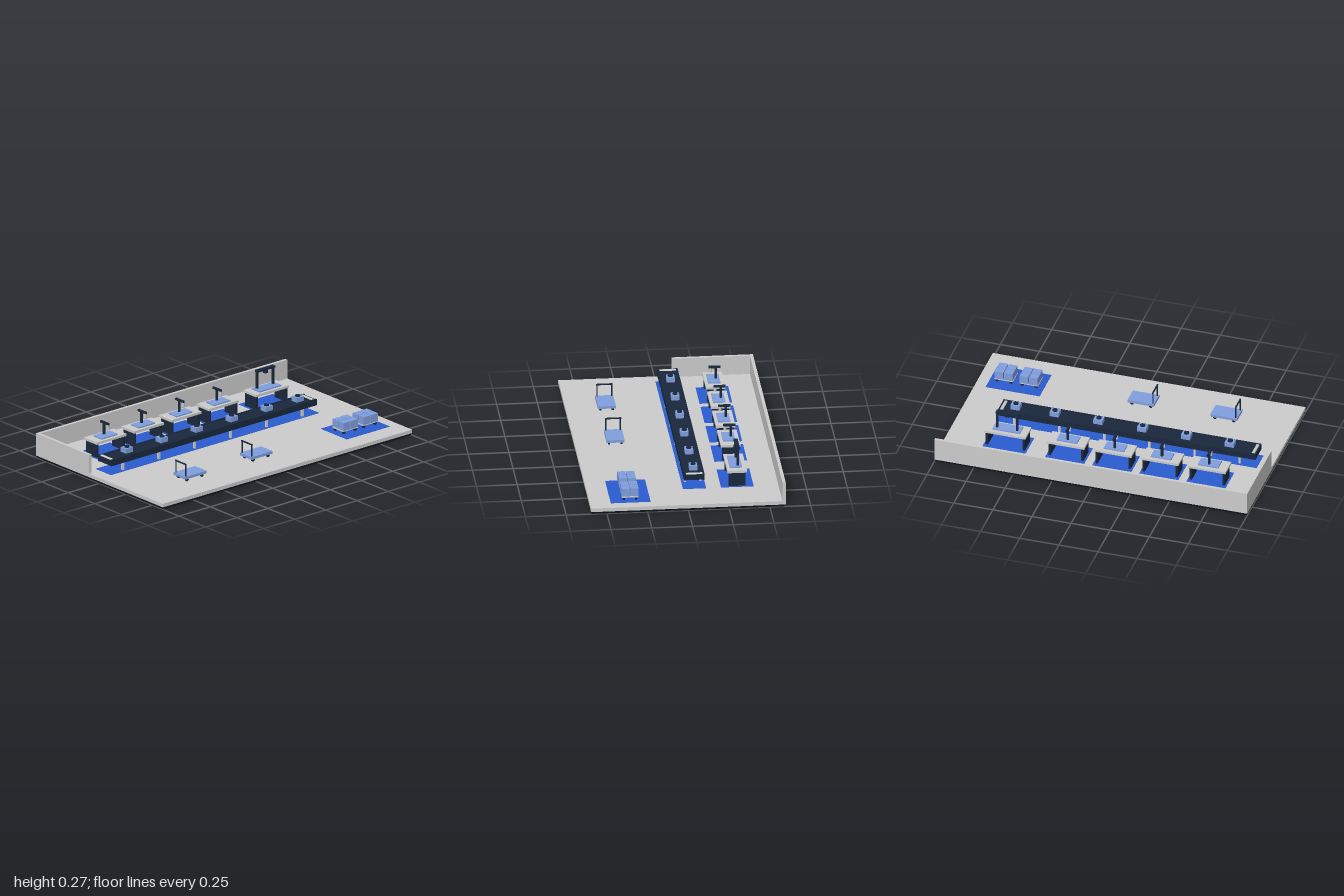
import * as THREE from 'three';

const mat = (color) => new THREE.MeshStandardMaterial({ color });
const GREY = mat(0xcccccc), DARK = mat(0x1a283c), BASE = mat(0x0c1420);
const MAT = mat(0x2a5cd0), BLUE = mat(0x809fde);
const FLOOR = 0.036;

function add(parent, name, geometry, material, x, y, z) {
  const mesh = new THREE.Mesh(geometry, material);
  mesh.name = name;
  mesh.position.set(x, y, z);
  parent.add(mesh);
  return mesh;
}

// Box given by its centre in x and z and its bottom and top heights
function box(parent, name, material, x, z, w, d, y0, y1) {
  return add(parent, name, new THREE.BoxGeometry(w, y1 - y0, d), material, x, (y0 + y1) / 2, z);
}

function rod(parent, name, material, x, z, r, y0, y1, sides = 12) {
  return add(parent, name, new THREE.CylinderGeometry(r, r, y1 - y0, sides), material, x, (y0 + y1) / 2, z);
}

// Cylinder lying along z
function rollerZ(parent, name, material, x, y, z, r, length) {
  const m = add(parent, name, new THREE.CylinderGeometry(r, r, length, 16), material, x, y, z);
  m.rotation.x = Math.PI / 2;
  return m;
}

function group(parent, name, x = 0, z = 0) {
  const g = new THREE.Group();
  g.name = name;
  g.position.set(x, 0, z);
  parent.add(g);
  return g;
}

function floorMat(parent, x, z, w, d) {
  box(parent, 'floorMat', MAT, x, z, w, d, FLOOR - 0.002, FLOOR + 0.002);
}

// Table on two end panels, with a work tray
function workTable(parent, name, x, width, trayWidth) {
  const g = group(parent, name, x, -0.325);
  floorMat(g, 0, 0, width + 0.01, 0.2);
  box(g, 'tableTop', GREY, 0, 0, width, 0.12, 0.126, 0.141);
  for (const s of [-1, 1]) {
    box(g, 'endPanel', DARK, s * (width / 2 - 0.015), 0, 0.014, 0.104, FLOOR, 0.126);
  }
  box(g, 'workTray', BLUE, 0, 0.003, trayWidth, 0.075, 0.141, 0.149);
  return g;
}

// Four wheels under a deck
function wheels(parent, dx, dz) {
  for (const sx of [-1, 1]) for (const sz of [-1, 1]) {
    rollerZ(parent, 'wheel', DARK, sx * dx, FLOOR + 0.011, sz * dz, 0.011, 0.012);
  }
}

export function createModel() {
  const model = new THREE.Group();
  model.name = 'assemblyLine';

  // Floor slab and walls
  box(model, 'plinth', BASE, 0, 0, 1.992, 1.186, 0, 0.013);
  box(model, 'floorSlab', GREY, 0, 0, 2, 1.194, 0.013, FLOOR);
  box(model, 'backWall', GREY, 0, -0.587, 2, 0.02, FLOOR, 0.158);
  box(model, 'sideWall', GREY, -0.99, -0.347, 0.02, 0.5, FLOOR, 0.158);

  // Conveyor
  const conveyor = group(model, 'conveyor', -0.08, -0.062);
  floorMat(conveyor, 0, 0, 1.67, 0.142);
  box(conveyor, 'conveyorBed', DARK, 0, 0, 1.65, 0.106, 0.09, 0.123);
  for (const s of [-1, 1]) {
    box(conveyor, 'sideRail', DARK, 0, s * 0.057, 1.65, 0.012, 0.088, 0.127);
    rollerZ(conveyor, 'endRoller', GREY, s * 0.805, 0.119, 0, 0.011, 0.1);
    for (let i = 0; i < 6; i++) {
      box(conveyor, 'conveyorLeg', GREY, -0.72 + i * 0.288, s * 0.048, 0.014, 0.014, FLOOR, 0.09);
    }
  }

  // Workpieces on the belt
  for (const x of [-0.725, -0.445, -0.165, 0.115, 0.395, 0.645]) {
    const piece = group(model, 'workpiece', x, -0.063);
    box(piece, 'pieceBody', BLUE, 0, 0, 0.058, 0.05, 0.123, 0.153);
    rod(piece, 'pieceCap', DARK, 0, 0, 0.016, 0.153, 0.161);
  }

  // Four stations with an overhead tool arm
  for (let i = 0; i < 4; i++) {
    const g = workTable(model, 'workStation', -0.675 + i * 0.301, 0.24, 0.13);
    rod(g, 'toolPost', DARK, 0, -0.012, 0.008, 0.141, 0.228);
    box(g, 'toolArm', DARK, 0, -0.004, 0.012, 0.075, 0.217, 0.23);
    rod(g, 'toolHead', GREY, 0, 0.024, 0.009, 0.19, 0.218);
  }

  // Inspection station with a gantry
  const check = workTable(model, 'inspectionStation', 0.616, 0.265, 0.175);
  for (const s of [-1, 1]) {
    box(check, 'gantryPost', DARK, s * 0.064, -0.01, 0.012, 0.014, 0.141, 0.26);
  }
  box(check, 'gantryBeam', DARK, 0, -0.01, 0.142, 0.025, 0.255, 0.268);
  rod(check, 'sensor', DARK, 0, -0.006, 0.016, 0.238, 0.256);

  // Push carts
  for (const x of [-0.57, -0.04]) {
    const cart = group(model, 'pushCart', x, 0.35);
    box(cart, 'cartDeck', BLUE, 0, 0, 0.17, 0.11, 0.056, 0.073);
    wheels(cart, 0.06, 0.038);
    for (const s of [-1, 1]) rod(cart, 'handlePost', DARK, -0.075, s * 0.045, 0.004, 0.073, 0.15);
    rollerZ(cart, 'handleBar', DARK, -0.075, 0.15, 0, 0.005, 0.1);
  }

  // Finished goods on dollies
  const store = group(model, 'storageArea', 0.757, 0.347);
  floorMat(store, 0, 0, 0.345, 0.244);
  for (const s of [-1, 1]) {
    const dolly = group(store, 'dolly', s * 0.08, 0);
    box(dolly, 'dollyDeck', GREY, 0, 0, 0.12, 0.1, 0.055, 0.063);
    wheels(dolly, 0.045, 0.038);
    for (const sx of [-1, 1]) for (const sz of [-1, 1]) {
      box(dolly, 'carton', BLUE, sx * 0.03, sz * 0.027, 0.055, 0.05, 0.063, 0.113);
    }
  }
  return model;
}
